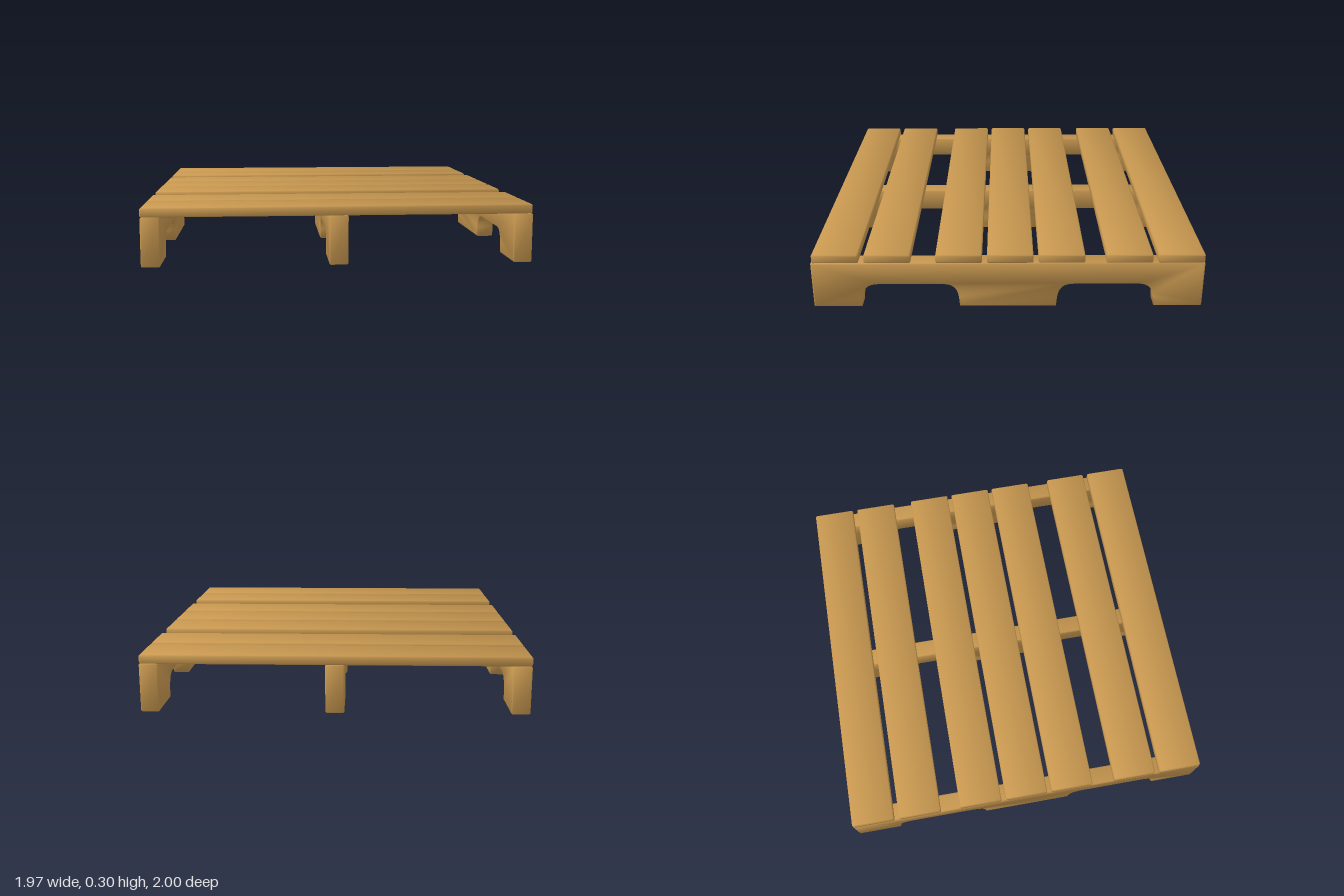
import * as THREE from 'three';
import { mergeVertices } from 'three/addons/utils/BufferGeometryUtils.js';

const BEVEL = 0.006;

// Shared normals, weighted by corner angle, so bevels blend softly into the faces
function softNormals(source) {
  source.deleteAttribute('uv');
  source.deleteAttribute('normal');
  const geometry = mergeVertices(source, 1e-4);
  const pos = geometry.attributes.position;
  const index = geometry.index;
  const sums = Array.from({ length: pos.count }, () => new THREE.Vector3());
  for (let i = 0; i < index.count; i += 3) {
    const ids = [0, 1, 2].map(k => index.getX(i + k));
    const p = ids.map(id => new THREE.Vector3().fromBufferAttribute(pos, id));
    const n = new THREE.Triangle(...p).getNormal(new THREE.Vector3());
    ids.forEach((id, k) => {
      const a = p[(k + 1) % 3].clone().sub(p[k]);
      const b = p[(k + 2) % 3].clone().sub(p[k]);
      if (a.lengthSq() && b.lengthSq()) sums[id].addScaledVector(n, a.angleTo(b));
    });
  }
  const normals = sums.flatMap(v => v.normalize().toArray());
  geometry.setAttribute('normal', new THREE.Float32BufferAttribute(normals, 3));
  return geometry;
}

// Extrude a (z, y) profile along x with chamfered ends
function board(shape, width) {
  const geometry = new THREE.ExtrudeGeometry(shape, {
    depth: width - 2 * BEVEL, bevelEnabled: true, bevelSegments: 1,
    bevelThickness: BEVEL, bevelSize: BEVEL, bevelOffset: -BEVEL, curveSegments: 6,
  });
  geometry.translate(0, 0, BEVEL - width / 2);
  geometry.rotateY(-Math.PI / 2);
  return softNormals(geometry);
}

// Plank section with four chamfered corners
function plankShape(w, h) {
  const a = w / 2, b = h / 2, c = BEVEL;
  return new THREE.Shape([
    [-a + c, -b], [a - c, -b], [a, -b + c], [a, b - c],
    [a - c, b], [-a + c, b], [-a, b - c], [-a, -b + c],
  ].map(p => new THREE.Vector2(...p)));
}

// Beam side profile with two rounded fork openings
function beamShape() {
  const c = 0.004, top = 0.25, arch = 0.128;
  const s = new THREE.Shape();
  s.moveTo(-1 + c, 0);
  for (const z of [-0.5, 0.5]) {
    s.lineTo(z - 0.252, 0);
    s.lineTo(z - 0.247, 0.055);
    s.bezierCurveTo(z - 0.24, 0.105, z - 0.215, arch, z - 0.165, arch);
    s.lineTo(z + 0.165, arch);
    s.bezierCurveTo(z + 0.215, arch, z + 0.24, 0.105, z + 0.247, 0.055);
    s.lineTo(z + 0.252, 0);
  }
  s.lineTo(1 - c, 0);
  s.lineTo(1, c);
  s.lineTo(1, top - c);
  s.lineTo(1 - c, top);
  s.lineTo(-1 + c, top);
  s.lineTo(-1, top - c);
  s.lineTo(-1, c);
  return s;
}

export function createModel() {
  const group = new THREE.Group();
  group.name = 'pallet';
  const wood = new THREE.MeshStandardMaterial({ color: 0xc89850 });
  wood.name = 'wood';

  // Three notched support beams
  const beam = board(beamShape(), 0.096);
  [-0.938, -0.002, 0.936].forEach((x, i) => {
    const mesh = new THREE.Mesh(beam, wood);
    mesh.name = ['rightBeam', 'middleBeam', 'leftBeam'][i];
    mesh.position.x = x;
    group.add(mesh);
  });

  // Seven deck planks, unevenly spaced
  const plank = board(plankShape(0.235, 0.048), 1.97);
  [-0.88, -0.617, -0.273, -0.011, 0.25, 0.612, 0.876].forEach((z, i) => {
    const mesh = new THREE.Mesh(plank, wood);
    mesh.name = `deckPlank${i + 1}`;
    mesh.position.set(-0.002, 0.273, z);
    group.add(mesh);
  });

  return group;
}
